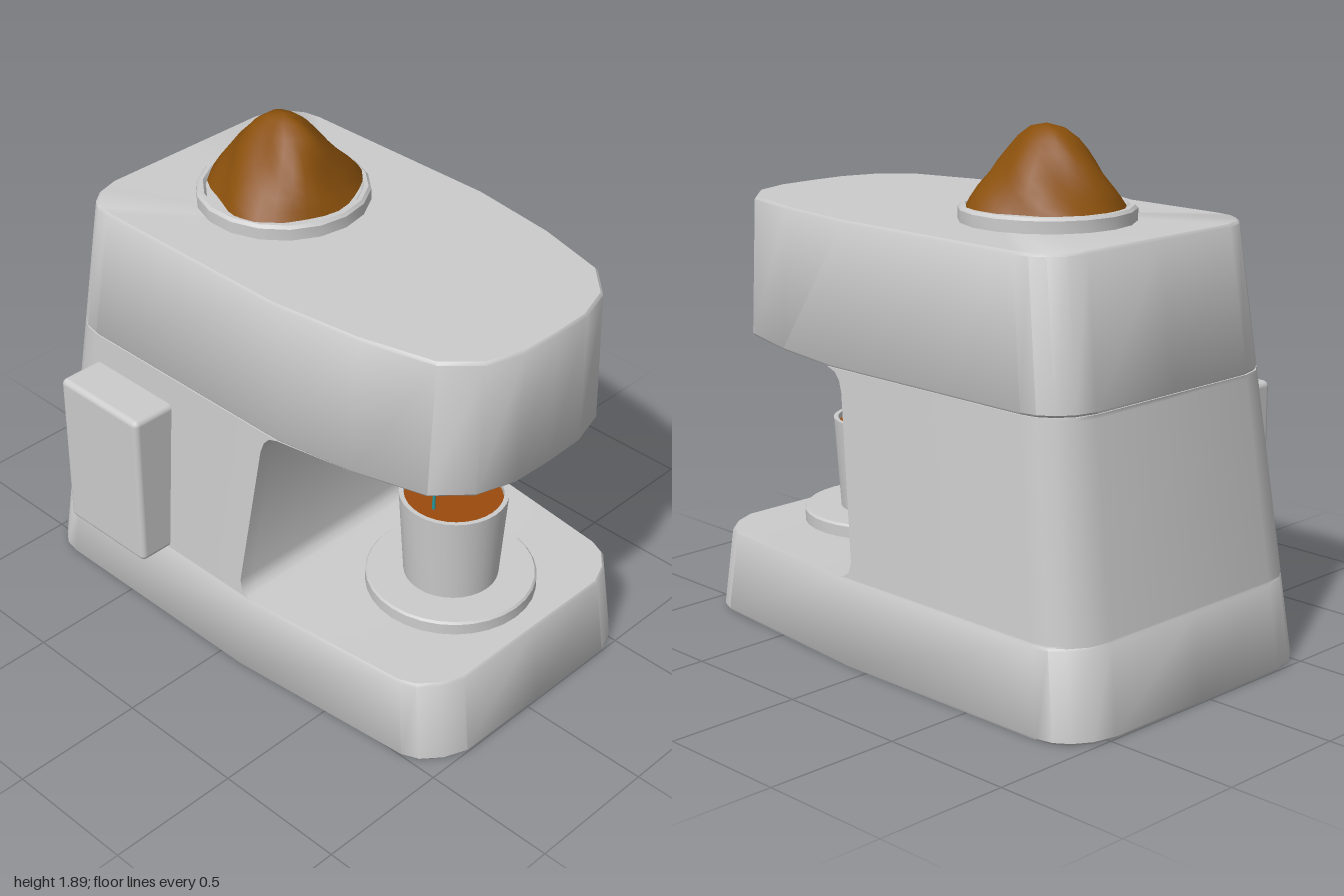
import * as THREE from 'three';
import { mergeVertices, toCreasedNormals } from 'three/addons/utils/BufferGeometryUtils.js';
import { RoundedBoxGeometry } from 'three/addons/geometries/RoundedBoxGeometry.js';

const CX = 0.05; // the machine's own axis; the side box makes it off-centre

// Front outlines of foot and head: [fraction of half width, z]
const FOOT = [[0.887, 0.85], [0.845, 0.91], [0.74, 0.965], [0.6, 1.0], [0, 1.0]];
const HEAD = [[0.91, 0.55], [0.77, 0.82], [0.56, 0.93], [0.29, 0.975], [0, 0.98]];
// Rounded back corner: [fraction of half width, distance from the back]
const BACK = [[0, 0], [0.68, 0], [0.82, 0.02], [0.92, 0.06], [0.98, 0.11], [1, 0.17]];

// One closed horizontal section: z of the waist, and front outline (or flat front)
function section({ y, waist, front, flat = false, inset = 0 }) {
  const w = 0.62 - 0.064 * y - inset;
  const zBack = -1 + 0.135 * y + inset;
  const taper = front === FOOT ? 0.13 * y : 0;
  const half = [
    ...BACK.map(([f, d]) => [f * w, zBack + d]),
    [w, waist],
    ...front.map(([f, z]) => [f * w, flat ? waist : z - taper - inset]),
  ];
  const mirrored = half.slice(1, -1).reverse().map(([x, z]) => [-x, z]);
  return [...half, ...mirrored].map(([x, z]) => new THREE.Vector3(x + CX, y, z));
}

// Skin stacked sections and close both ends
function loft(rings) {
  const pos = [];
  const ab = new THREE.Vector3(), ac = new THREE.Vector3();
  const tri = (a, b, c) => {
    if (ab.subVectors(b, a).cross(ac.subVectors(c, a)).length() < 1e-8) return;
    for (const p of [a, b, c]) pos.push(p.x, p.y, p.z);
  };
  const n = rings[0].length;
  const first = rings[0], last = rings[rings.length - 1];
  const bottom = new THREE.Vector3(CX, first[0].y, 0);
  const top = new THREE.Vector3(CX, last[0].y, 0);
  for (let i = 0; i < n; i++) {
    const j = (i + 1) % n;
    for (let k = 0; k < rings.length - 1; k++) {
      const lo = rings[k], hi = rings[k + 1];
      tri(lo[i], hi[i], lo[j]);
      tri(lo[j], hi[i], hi[j]);
    }
    tri(bottom, first[i], first[j]);
    tri(top, last[j], last[i]);
  }
  const g = new THREE.BufferGeometry();
  g.setAttribute('position', new THREE.Float32BufferAttribute(pos, 3));
  return toCreasedNormals(g, 0.75);
}

function lathe(points, segments = 32, crease = 0.6) {
  const g = new THREE.LatheGeometry(points.map(([r, y]) => new THREE.Vector2(r, y)), segments);
  return toCreasedNormals(g, crease);
}

// Heap: a lathe with lumpy radius, stretched along z towards its top
function heapGeometry() {
  const profile = [[0.27, 0], [0.25, 0.03], [0.22, 0.07], [0.185, 0.11], [0.155, 0.15],
    [0.12, 0.19], [0.085, 0.23], [0.045, 0.265], [0, 0.28]];
  const g = new THREE.LatheGeometry(profile.map(([r, y]) => new THREE.Vector2(r, y)), 28);
  const p = g.attributes.position;
  for (let i = 0; i < p.count; i++) {
    const x = p.getX(i), y = p.getY(i), z = p.getZ(i);
    const a = Math.atan2(z, x), t = y / 0.28;
    const lump = 1 + 0.05 * Math.sin(3 * a + 9 * y) + 0.04 * Math.sin(5 * a - 22 * y);
    p.setXYZ(i, x * lump, y, z * lump * (1 + 0.55 * t * t));
  }
  g.deleteAttribute('uv');
  g.deleteAttribute('normal');
  const merged = mergeVertices(g, 1e-4);
  merged.computeVertexNormals();
  return merged;
}

export function createModel() {
  const model = new THREE.Group();
  model.name = 'coffeeMachine';
  const mat = (color, side = THREE.FrontSide) => new THREE.MeshStandardMaterial({ color, side });
  const grey = mat(0xcccccc);
  const brown = mat(0x8a500c);
  const coffee = mat(0x9a4a0c);
  const teal = mat(0x2a9a9c);
  const add = (name, geometry, material, x = 0, y = 0, z = 0) => {
    const m = new THREE.Mesh(geometry, material);
    m.name = name;
    m.position.set(x, y, z);
    model.add(m);
    return m;
  };

  // Body: foot, leaning column with filleted corners, overhanging head
  add('body', loft([
    { y: 0, waist: 0.1, front: FOOT, inset: 0.006 },
    { y: 0.008, waist: 0.1, front: FOOT },
    { y: 0.305, waist: 0.16, front: FOOT },
    { y: 0.315, waist: 0.16, front: FOOT, inset: 0.006 },
    { y: 0.315, waist: 0.16, front: FOOT, flat: true },
    { y: 0.322, waist: 0.13, front: FOOT, flat: true },
    { y: 0.34, waist: 0.105, front: FOOT, flat: true },
    { y: 0.38, waist: 0.095, front: FOOT, flat: true },
    { y: 0.97, waist: 0.174, front: HEAD, flat: true },
    { y: 1.01, waist: 0.188, front: HEAD, flat: true },
    { y: 1.037, waist: 0.212, front: HEAD, flat: true },
    { y: 1.05, waist: 0.25, front: HEAD, flat: true },
    { y: 1.05, waist: 0.25, front: HEAD, inset: 0.006 },
    { y: 1.058, waist: 0.25, front: HEAD },
    { y: 1.555, waist: 0.2, front: HEAD },
    { y: 1.565, waist: 0.2, front: HEAD, inset: 0.008 },
  ].map(section)), grey);

  // Box on the right-hand side
  add('sideBox', new RoundedBoxGeometry(0.24, 0.62, 0.41, 3, 0.022), grey, -0.56, 0.63, -0.485);

  // Hopper rim and the heap of grounds
  add('hopperRim', lathe([[0.31, 0], [0.31, 0.045], [0.3, 0.056], [0.285, 0.056], [0.275, 0.04], [0, 0.04]], 18),
    grey, CX, 1.563, -0.275);
  add('groundsHeap', heapGeometry(), brown, CX, 1.615, -0.27);

  // Drip tray
  add('dripTray', lathe([[0, 0], [0.31, 0], [0.31, 0.045], [0.303, 0.053], [0, 0.053]], 32), grey, CX, 0.313, 0.57);

  // Cup with coffee
  add('cup', lathe([[0, 0], [0.172, 0], [0.195, 0.345], [0.178, 0.345], [0.16, 0.02], [0, 0.02]], 32),
    mat(0xcccccc, THREE.DoubleSide), CX, 0.366, 0.57);
  const surface = new THREE.CircleGeometry(0.178, 32);
  surface.rotateX(-Math.PI / 2);
  add('coffeeSurface', surface, coffee, CX, 0.69, 0.57);

  // Two spouts and the streams below them
  for (const [side, x, material] of [['right', -0.055, teal], ['left', 0.155, coffee]]) {
    add(side + 'Spout', lathe([[0, 0], [0.044, 0], [0.05, 0.006], [0.05, 0.22], [0, 0.22]], 20), grey, x, 0.84, 0.57);
    add(side + 'Stream', new THREE.CylinderGeometry(0.006, 0.006, 0.16, 8), material, x, 0.77, 0.57);
  }
  return model;
}
